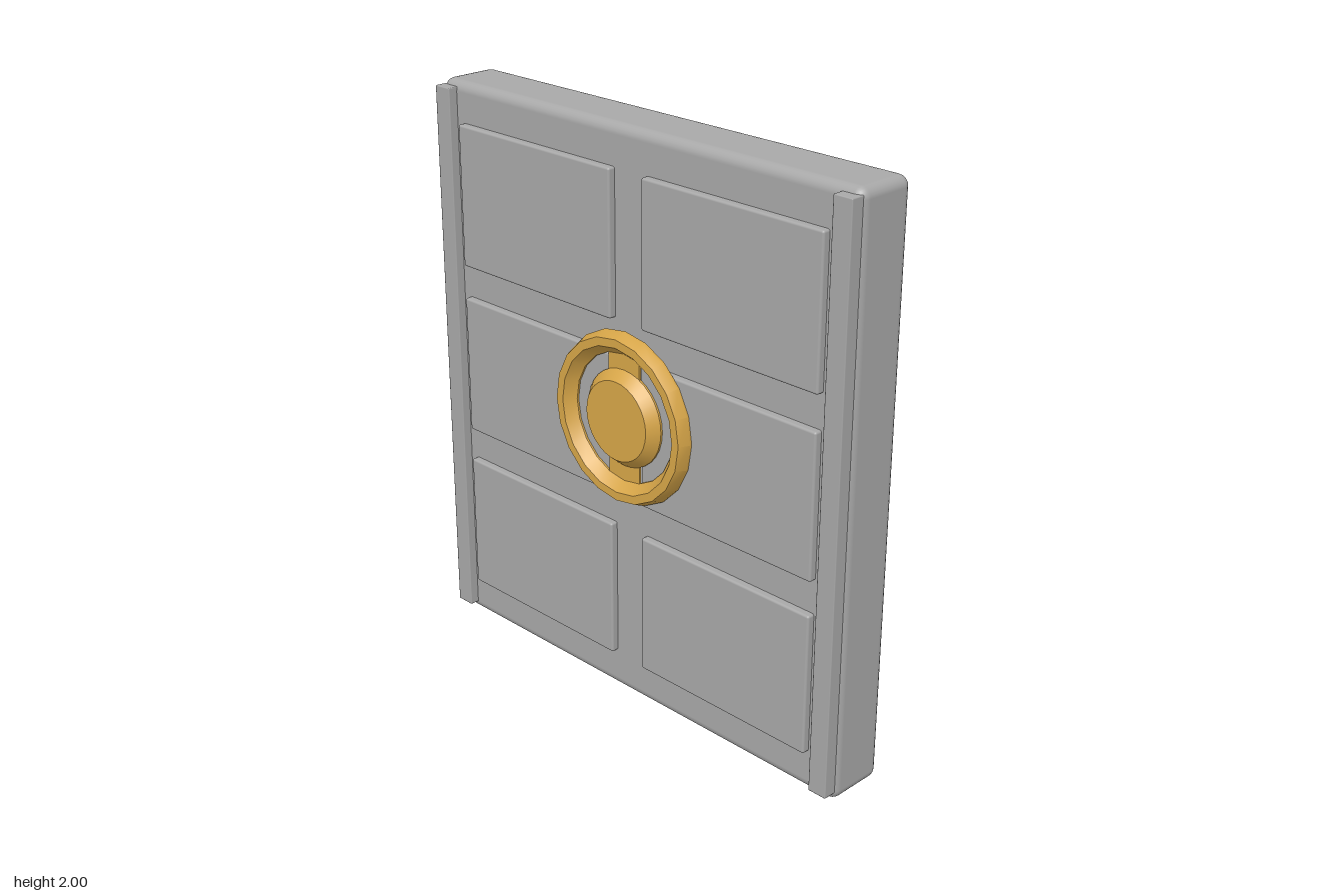
import * as THREE from 'three';
import { toCreasedNormals } from 'three/addons/utils/BufferGeometryUtils.js';
import { RoundedBoxGeometry } from 'three/addons/geometries/RoundedBoxGeometry.js';

export function createModel() {
  const model = new THREE.Group();
  model.name = 'vaultDoor';

  const steel = new THREE.MeshStandardMaterial({ color: 0xa8a8a8 });
  steel.name = 'steel grey';
  const brass = new THREE.MeshStandardMaterial({ color: 0xd6a548 });
  brass.name = 'brass';

  function add(parent, name, geometry, material, x, y, z) {
    const mesh = new THREE.Mesh(geometry, material);
    mesh.name = name;
    mesh.position.set(x, y, z);
    parent.add(mesh);
    return mesh;
  }

  // Turned part whose axis points to the front; profile is [radius, depth]
  function turned(profile, sides) {
    const points = profile.map(([r, d]) => new THREE.Vector2(r, d));
    const geometry = new THREE.LatheGeometry(points, sides);
    geometry.rotateX(Math.PI / 2);
    return toCreasedNormals(geometry, 0.5);
  }

  // Door slab
  add(model, 'doorSlab', new RoundedBoxGeometry(1.81, 2, 0.22, 3, 0.035), steel, 0, 1, -0.035);

  for (const side of [-1, 1]) {
    // Upright strip along each edge
    add(model, side > 0 ? 'leftEdgeStrip' : 'rightEdgeStrip',
      new RoundedBoxGeometry(0.07, 1.95, 0.05, 1, 0.004), steel, side * 0.862, 1.005, 0.083);

    // Raised panels in three rows
    for (const y of [0.392, 1.004, 1.616]) {
      add(model, 'raisedPanel', new RoundedBoxGeometry(0.725, 0.495, 0.05, 2, 0.008),
        steel, side * 0.4325, y, 0.076);
    }
  }

  // Hand wheel: rim, hub and upright spokes
  const wheel = new THREE.Group();
  wheel.name = 'handWheel';
  wheel.position.set(0, 1.05, 0.1);
  model.add(wheel);

  add(wheel, 'wheelRim', turned([
    [0.222, 0], [0.297, 0], [0.297, 0.008], [0.281, 0.045], [0.252, 0.045], [0.222, 0.008], [0.222, 0],
  ], 20), brass, 0, 0, 0);
  add(wheel, 'wheelHub', turned([
    [0, 0], [0.168, 0], [0.168, 0.008], [0.137, 0.045], [0, 0.045],
  ], 32), brass, 0, 0, 0);
  for (const side of [-1, 1]) {
    add(wheel, 'wheelSpoke', new THREE.BoxGeometry(0.14, 0.12, 0.008), brass, 0, side * 0.195, 0.004);
  }

  return model;
}
